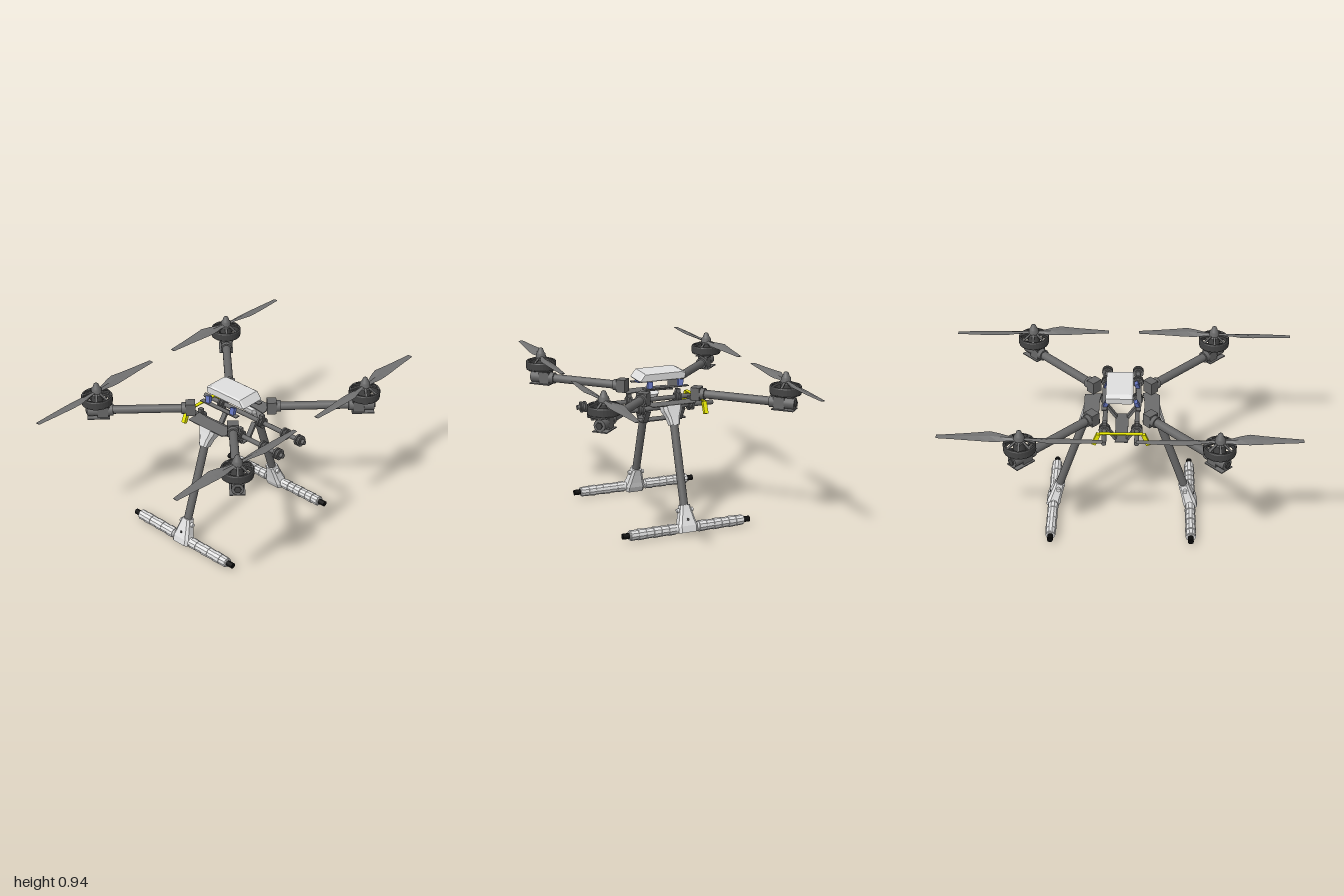
import * as THREE from 'three';

const mat = (name, color) => { const m = new THREE.MeshStandardMaterial({ color }); m.name = name; return m; };

export function createModel() {
  const carbon = mat('carbon grey', 0x686868);
  const bladeGrey = mat('blade grey', 0x727272);
  const motorDark = mat('motor dark grey', 0x444444);
  const pale = mat('pale grey', 0xe0e0e0);
  const black = mat('black', 0x0a0a0a);
  const blue = mat('blue', 0x6070b8);
  const yellow = mat('yellow', 0xf0f000);
  const plateGrey = mat('plate grey', 0x6c6c6c);
  plateGrey.side = THREE.DoubleSide;

  const root = new THREE.Group();
  root.name = 'quadcopter';

  const add = (parent, name, geo, m, x = 0, y = 0, z = 0) => {
    const o = new THREE.Mesh(geo, m);
    o.name = name;
    o.position.set(x, y, z);
    parent.add(o);
    return o;
  };
  const group = (parent, name, x = 0, y = 0, z = 0) => {
    const g = new THREE.Group();
    g.name = name;
    g.position.set(x, y, z);
    parent.add(g);
    return g;
  };
  const box = (w, h, d) => new THREE.BoxGeometry(w, h, d);
  const cyl = (r1, r2, h, n = 20) => new THREE.CylinderGeometry(r1, r2, h, n);
  const rodX = (r1, r2, len, n = 16) => cyl(r1, r2, len, n).rotateZ(Math.PI / 2);
  const flat = (geo) => { const g = geo.toNonIndexed(); g.computeVertexNormals(); return g; };

  // Closed skin over rings of points, each ring listed the same way round
  const skin = (rings) => {
    const n = rings[0].length, pos = rings.flat(2), idx = [];
    for (let i = 0; i < rings.length - 1; i++) {
      for (let j = 0; j < n; j++) {
        const a = i * n + j, b = i * n + (j + 1) % n;
        idx.push(a, a + n, b, b, a + n, b + n);
      }
    }
    const last = (rings.length - 1) * n;
    for (let j = 1; j < n - 1; j++) idx.push(0, j, j + 1, last, last + j + 1, last + j);
    const g = new THREE.BufferGeometry();
    g.setAttribute('position', new THREE.Float32BufferAttribute(pos, 3));
    g.setIndex(idx);
    return flat(g);
  };
  // Chamfered casting stacked downwards from [y, halfX, halfZ, centreZ] rows
  const casting = (rows) => skin(rows.map(([y, a, b, zc]) => {
    const c = Math.min(a, b) * 0.4;
    return [[a, b - c], [a, c - b], [a - c, -b], [c - a, -b], [-a, c - b], [-a, b - c], [c - a, b], [a - c, b]]
      .map(([x, z]) => [x, y, z + zc]);
  }));

  // Propeller blade rows, tip first: distance, leading edge, trailing edge, pitch, thickness
  const bladeRows = [
    [0.455, 0.015, -0.014, 0.05, 0.005], [0.33, 0.03, -0.019, 0.1, 0.007], [0.23, 0.042, -0.024, 0.16, 0.009],
    [0.165, 0.05, -0.026, 0.22, 0.012], [0.11, 0.036, -0.024, 0.26, 0.014], [0.06, 0.02, -0.016, 0.25, 0.015],
    [0.015, 0.016, -0.016, 0.1, 0.015],
  ];
  // hand = 1 or -1 for the two directions of spin
  const bladeFor = (hand) => skin(bladeRows.map(([r, lead, trail, pitch, t]) => {
    const mid = (lead + trail) / 2, c = Math.cos(pitch), s = Math.sin(pitch);
    const ring = [[trail, 0], [mid, t / 2], [lead, 0], [mid, -t / 2]]
      .map(([x, y]) => [hand * (x * c - y * s), x * s + y * c, -r]);
    return hand > 0 ? ring : ring.reverse();
  }));
  const blades = { 1: bladeFor(1), [-1]: bladeFor(-1) };

  const V = (x, y) => new THREE.Vector2(x, y);
  const bellPts = [[0.078, 0.807], [0.089, 0.807], [0.089, 0.812], [0.091, 0.815], [0.091, 0.85],
    [0.087, 0.857], [0.078, 0.857], [0.078, 0.807]];
  const bellGeo = flat(new THREE.LatheGeometry(bellPts.map((p) => V(...p)), 32));
  const spinnerGeo = new THREE.LatheGeometry([[0.036, 0.868], [0.03, 0.875], [0.029, 0.9], [0.022, 0.906],
    [0.013, 0.93], [0.007, 0.935], [0, 0.935]].map((p) => V(...p)), 20);

  for (const sx of [-1, 1]) {
    for (const sz of [-1, 1]) {
      // Arm, local +x points outwards
      const arm = group(root, 'arm');
      arm.rotation.y = Math.atan2(-sz, sx);
      add(arm, 'armTube', rodX(0.025, 0.025, 0.5), carbon, 0.47, 0.755, 0);
      add(arm, 'armClamp', box(0.055, 0.075, 0.065), carbon, 0.235, 0.756, 0);
      add(arm, 'armCollar', rodX(0.034, 0.034, 0.025), carbon, 0.275, 0.755, 0);
      add(arm, 'motorCollar', rodX(0.034, 0.034, 0.03), carbon, 0.695, 0.755, 0);
      add(arm, 'motorMount', box(0.065, 0.068, 0.062), carbon, 0.74, 0.755, 0);
      add(arm, 'mountBarrel', rodX(0.034, 0.034, 0.06), carbon, 0.8, 0.755, 0);
      add(arm, 'mountCap', rodX(0.02, 0.02, 0.012, 6), motorDark, 0.832, 0.755, 0);
      for (const y of [0.718, 0.796]) add(arm, 'mountPlate', box(0.13, 0.006, 0.085), plateGrey, 0.765, y, 0);

      // Open spoked motor
      const motor = group(root, 'motor', sx * 0.545, 0, sz * 0.545);
      add(motor, 'motorBell', bellGeo, motorDark);
      add(motor, 'motorHub', cyl(0.032, 0.036, 0.078), motorDark, 0, 0.836, 0);
      for (let i = 0; i < 8; i++) {
        const spoke = group(motor, 'motorSpoke');
        spoke.rotation.y = i * Math.PI / 4;
        add(spoke, 'topSpoke', box(0.062, 0.006, 0.013), carbon, 0.058, 0.864, 0).rotation.z = -0.36;
        add(spoke, 'baseSpoke', box(0.052, 0.006, 0.013), motorDark, 0.056, 0.81, 0);
      }
      add(motor, 'spinner', spinnerGeo, carbon);

      // Two-bladed propeller, neighbours spinning opposite ways
      const hand = sx * sz;
      const prop = group(motor, 'propeller', 0, 0.879, 0);
      prop.rotation.y = -hand * 0.03;
      for (const turn of [0, Math.PI]) add(prop, 'blade', blades[hand], bladeGrey).rotation.y = turn;
    }
  }

  // Landing gear, front and back
  for (const turn of [0, Math.PI]) {
    const gear = group(root, 'landingGear');
    gear.rotation.y = turn;
    const leg = group(gear, 'leg', 0, 0.038, 0.413);
    leg.rotation.x = -0.325;
    add(leg, 'legTube', cyl(0.024, 0.024, 0.58), carbon, 0, 0.37, 0);
    add(leg, 'footBracket', casting([[0.13, 0.028, 0.03, 0], [0.09, 0.038, 0.032, 0], [0.04, 0.05, 0.036, 0],
      [0.01, 0.06, 0.04, 0], [-0.028, 0.058, 0.036, 0]]), pale);
    add(leg, 'footBolts', rodX(0.013, 0.013, 0.1, 10), pale, 0, 0.1, 0);
    add(leg, 'footScrew', cyl(0.008, 0.008, 0.008, 10).rotateX(Math.PI / 2), motorDark, 0, 0.045, 0.035);
    add(leg, 'hipBracket', casting([[0.705, 0.06, 0.045, -0.012], [0.675, 0.055, 0.045, -0.014],
      [0.635, 0.038, 0.036, -0.006], [0.59, 0.027, 0.03, 0]]), pale);
    for (const s of [-1, 1]) {
      add(gear, 'footCore', rodX(0.026, 0.026, 0.31), pale, s * 0.2, 0.037, 0.413);
      for (let i = 0; i < 6; i++) {
        const r = i % 2 ? 0.031 : 0.033;
        add(gear, 'footPad', flat(rodX(r, r - 0.002, 0.044, 10)), pale, s * (0.094 + i * 0.0465), 0.037, 0.413);
      }
      add(gear, 'footTip', rodX(0.017, 0.017, 0.048, 12), black, s * 0.371, 0.037, 0.413);
    }

    // Frame plates joining the arms
    const lower = new THREE.Shape([V(-0.14, 0.12), V(-0.07, 0.13), V(0.07, 0.13), V(0.15, 0.12),
      V(0.16, 0.18), V(0.13, 0.22), V(-0.13, 0.22)]);
    const plate = new THREE.ExtrudeGeometry(lower, { depth: 0.005, bevelEnabled: false });
    add(gear, 'lowerPlate', plate.rotateX(Math.PI / 2), plateGrey, 0, 0.716, 0);
    add(gear, 'upperStrip', box(0.28, 0.005, 0.03), plateGrey, 0, 0.79, 0.098);

    // Payload rail with twin-flange clamps
    const sz = turn ? -1 : 1;
    const rail = group(root, 'payloadRail', 0, 0.672, turn ? -0.096 : 0.09);
    add(rail, 'railTube', rodX(0.014, 0.014, 0.776), carbon, 0.09, 0, 0);
    for (const x of [-0.155, 0.155, 0.335, 0.44]) {
      for (const dx of [-0.011, 0.011]) add(rail, 'railFlange', rodX(0.033, 0.033, 0.01, 12), carbon, x + dx, 0, 0);
      add(rail, 'railCollar', rodX(0.023, 0.023, 0.04, 12), carbon, x, 0, 0);
    }
    for (const x of [-0.155, 0.155]) add(rail, 'railHanger', box(0.025, 0.04, 0.025), carbon, x, 0.03, 0);

    // Sloping hanger straps
    for (const x of [-0.112, 0.105]) {
      add(root, 'hangerStrap', box(0.03, 0.095, 0.016), carbon, x, 0.615, sz * 0.06).rotation.x = sz * 0.6;
    }
    // Yellow end tabs
    add(root, 'yellowTab', box(0.024, 0.074, 0.024), yellow, -0.23, 0.656, sz * 0.142).rotation.x = -sz * 0.4;

    // Blue dampers under the top case
    for (const x of [-0.095, 0.095]) {
      add(root, 'damper', box(0.03, 0.042, 0.022), blue, x, 0.806, sz * 0.088).rotation.set(sz * -0.35, 0, 0.2);
    }
  }
  add(root, 'hangerTray', box(0.285, 0.006, 0.075), carbon, -0.012, 0.578, 0);
  add(root, 'yellowBar', box(0.022, 0.005, 0.25), yellow, -0.23, 0.693, 0);

  // Top electronics case
  const side = new THREE.Shape([V(-0.125, 0.834), V(-0.11, 0.832), V(0.146, 0.832), V(0.15, 0.836),
    V(0.122, 0.872), V(-0.105, 0.872), V(-0.128, 0.862)]);
  const caseGeo = new THREE.ExtrudeGeometry(side,
    { depth: 0.136, bevelEnabled: true, bevelSize: 0.006, bevelThickness: 0.01, bevelSegments: 1 });
  add(root, 'topCase', caseGeo, pale, 0, 0, -0.079);

  return root;
}
